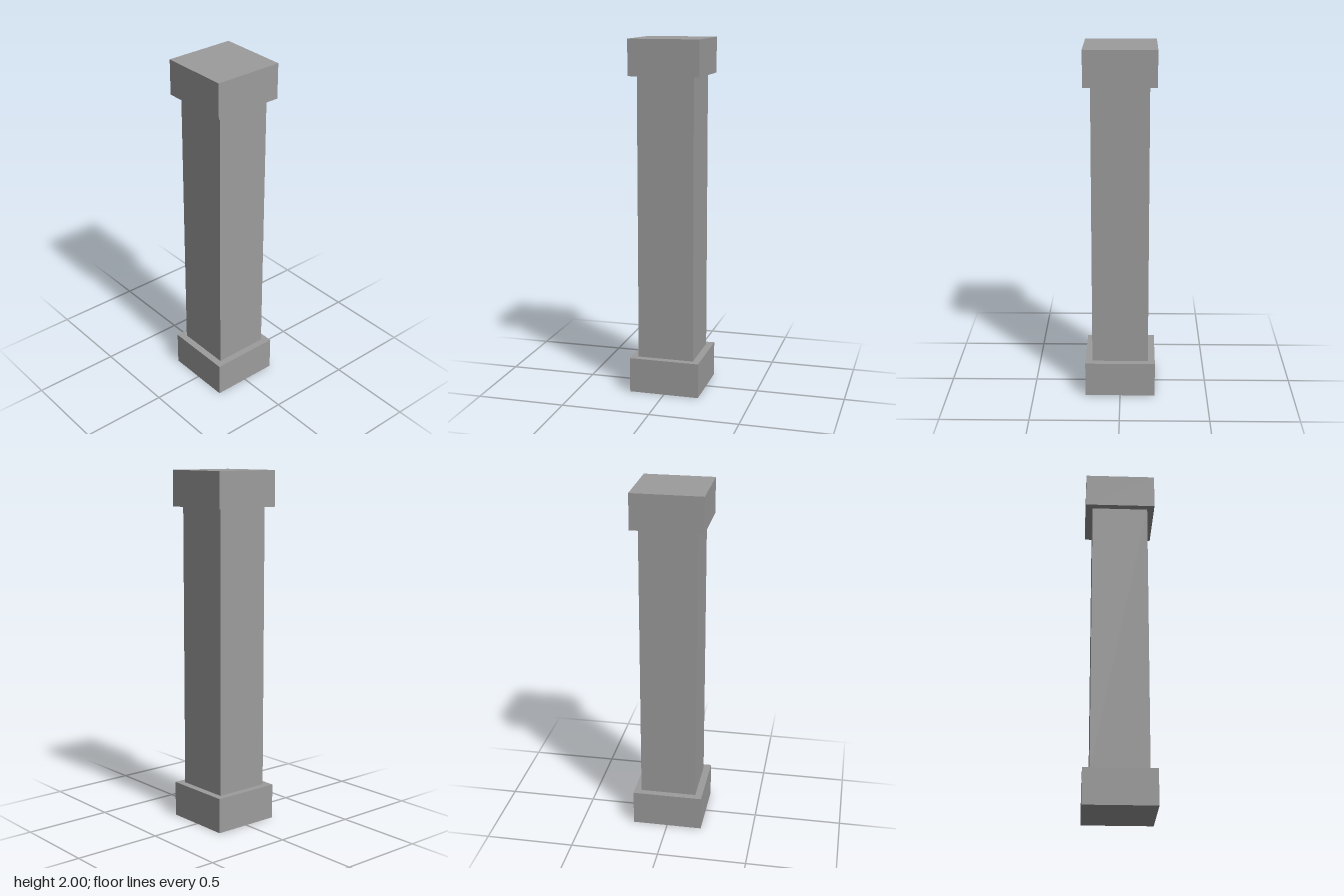
import * as THREE from 'three';

export function createModel() {
  const group = new THREE.Group();
  group.name = 'squarePillar';
  const material = new THREE.MeshStandardMaterial({ color: 0x9c9c9c });

  // Square block centred on the pillar's axis, from one height to another
  const addBlock = (name, width, bottom, top) => {
    const mesh = new THREE.Mesh(new THREE.BoxGeometry(width, top - bottom, width), material);
    mesh.name = name;
    mesh.position.y = (bottom + top) / 2;
    group.add(mesh);
  };

  addBlock('base', 0.4, 0, 0.2);
  addBlock('shaft', 0.32, 0.2, 1.8);
  addBlock('capital', 0.4, 1.8, 2);

  return group;
}
